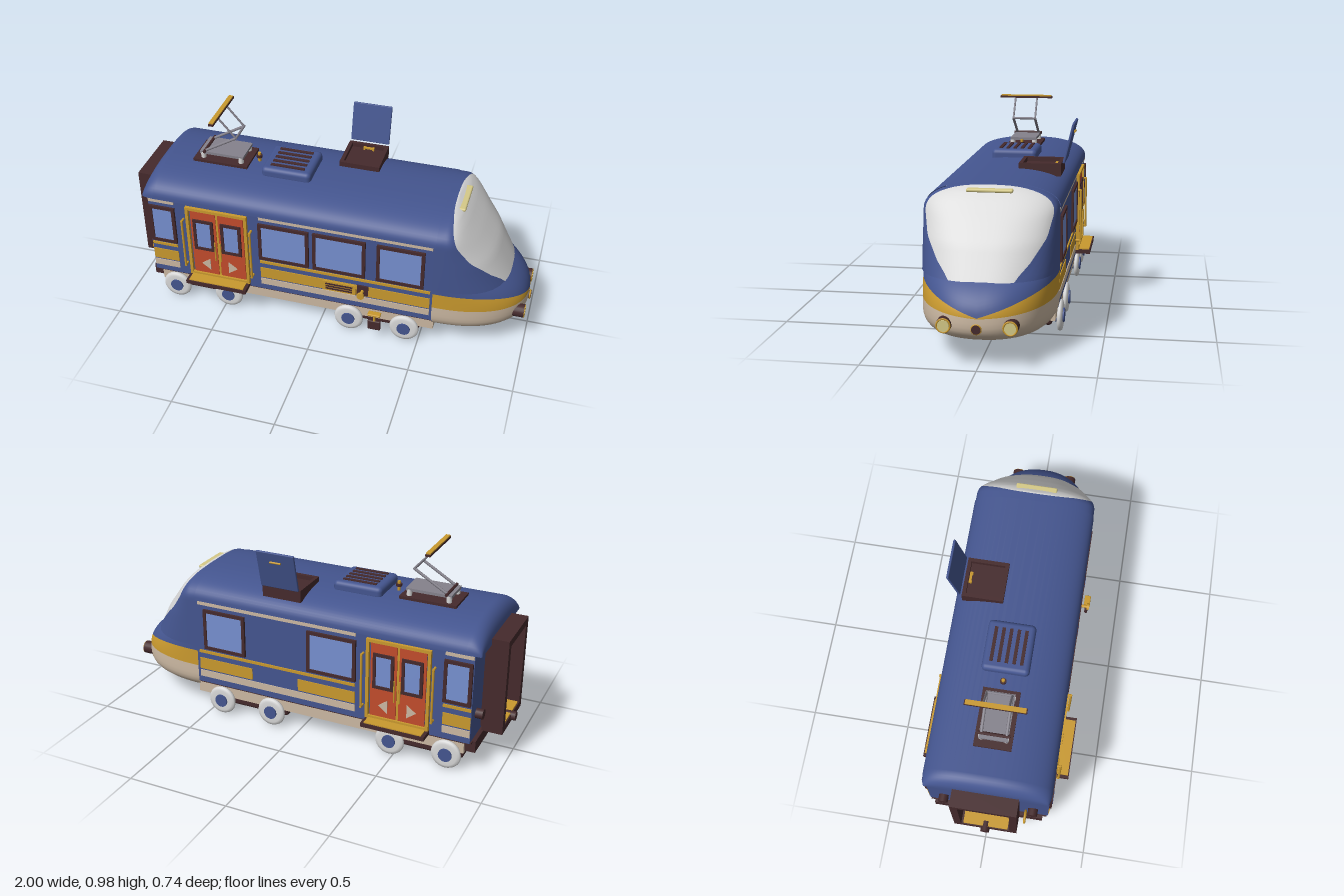
import * as THREE from 'three';
import { RoundedBoxGeometry } from 'three/addons/geometries/RoundedBoxGeometry.js';

const mat = (name, color) => {
  const m = new THREE.MeshStandardMaterial({ color, side: THREE.DoubleSide });
  m.name = name;
  return m;
};

// Value of y in a short list of [y, value] pairs
function lookup(table, y) {
  let k = 1;
  while (k < table.length - 1 && y > table[k][0]) k++;
  const [a, b] = [table[k - 1], table[k]];
  return THREE.MathUtils.mapLinear(THREE.MathUtils.clamp(y, a[0], b[0]), a[0], b[0], a[1], b[1]);
}

// Smooth surface from a rule fn(i, j); band(i, j) picks the material of each cell
function gridSurface(nu, nv, fn, band = () => 0, bands = 1) {
  const pos = [], idx = [], geo = new THREE.BufferGeometry();
  for (let j = 0; j <= nv; j++) for (let i = 0; i <= nu; i++) pos.push(...fn(i, j));
  for (let m = 0; m < bands; m++) {
    const start = idx.length;
    for (let j = 0; j < nv; j++) for (let i = 0; i < nu; i++) {
      if (band(i, j) !== m) continue;
      const a = j * (nu + 1) + i, c = a + nu + 1;
      idx.push(a, a + 1, c + 1, a, c + 1, c);
    }
    geo.addGroup(start, idx.length - start, m);
  }
  geo.setAttribute('position', new THREE.Float32BufferAttribute(pos, 3));
  geo.setIndex(idx);
  geo.computeVertexNormals();
  return geo;
}

const power = (v, p) => Math.sign(v) * Math.abs(v) ** p;
const arch = (t, n) => Math.max(0, 1 - t ** n) ** (1 / n);

export function createModel() {
  const root = new THREE.Group();
  root.name = 'tram';
  const blue = mat('blue', 0x44558f), glass = mat('window glass', 0x7690d0), gold = mat('gold', 0xc9992e),
    cream = mat('cream', 0xcbb8a2), orange = mat('door orange', 0xc24c2c), dark = mat('dark brown', 0x452a2c),
    white = mat('pale grey', 0xd8d8d8), grey = mat('metal grey', 0x85828c), lampMat = mat('lamp yellow', 0xd6ca88);

  const add = (name, geo, material, x = 0, y = 0, z = 0) => {
    const m = new THREE.Mesh(geo, material);
    m.name = name;
    m.position.set(x, y, z);
    root.add(m);
    return m;
  };
  // Box given by its limits on each axis
  const box = (name, m, x0, x1, y0, y1, z0, z1) => add(name,
    new THREE.BoxGeometry(x1 - x0, y1 - y0, Math.abs(z1 - z0)), m, (x0 + x1) / 2, (y0 + y1) / 2, (z0 + z1) / 2);
  const rounded = (name, m, x0, x1, y0, y1, z0, z1, r) => add(name,
    new RoundedBoxGeometry(x1 - x0, y1 - y0, z1 - z0, 3, r), m, (x0 + x1) / 2, (y0 + y1) / 2, (z0 + z1) / 2);
  // Round bar between two points
  const rod = (name, m, a, b, r, sides = 12) => {
    const p = new THREE.Vector3(...a), q = new THREE.Vector3(...b), d = q.clone().sub(p);
    const bar = add(name, new THREE.CylinderGeometry(r, r, d.length(), sides), m, ...p.clone().add(q).multiplyScalar(0.5));
    bar.quaternion.setFromUnitVectors(new THREE.Vector3(0, 1, 0), d.normalize());
    return bar;
  };
  // Rectangular ring extruded along z
  const frameGeo = (w, h, t, depth) => {
    const rect = (C, a, b) => new C([[-a, -b], [a, -b], [a, b], [-a, b]].map(p => new THREE.Vector2(...p)));
    const s = rect(THREE.Shape, w / 2, h / 2);
    s.holes.push(rect(THREE.Path, w / 2 - t, h / 2 - t));
    return new THREE.ExtrudeGeometry(s, { depth, bevelEnabled: false }).translate(0, 0, -depth / 2);
  };

  // Body, skirt and underframe
  const W = 0.295;
  box('body', blue, -0.87, 0.565, 0.155, 0.605, -W, W);
  box('skirt', cream, -0.84, 0.57, 0.09, 0.152, -0.283, 0.283);
  box('sill', dark, -0.875, 0.56, 0.148, 0.158, -0.29, 0.29);
  box('rearBeam', dark, -0.89, -0.84, 0.1, 0.158, -0.27, 0.27);
  for (const x of [-0.62, 0.29]) rounded('bogie', dark, x - 0.21, x + 0.21, 0.042, 0.095, -0.26, 0.26, 0.015);

  // Roof with rounded shoulders and a rounded rear end
  add('roof', gridSurface(32, 10, (i, j) => {
    const f = Math.PI * i / 32, a = Math.PI / 2 * Math.max(0, j - 1) / 9;
    const h = 0.113 * Math.cos(a) ** 0.7, w = 0.303 - 0.015 * (1 - Math.cos(a));
    return [j ? -0.83 - 0.07 * Math.sin(a) : 0.56, 0.6 + h * power(Math.sin(f), 2 / 2.4), w * power(Math.cos(f), 2 / 2.4)];
  }), blue);
  box('roofLip', blue, -0.895, -0.86, 0.594, 0.603, -0.287, 0.287);

  // Lower nose: cream, gold and blue bands meeting at the tip
  const noseRows = [12, 4, 8];
  add('nose', gridSurface(40, 24, (i, j) => {
    const f = Math.PI * i / 40, zn = power(Math.cos(f), 2 / 2.3), k = Math.abs(zn);
    const yc = 0.222 + 0.02 * k, yb = 0.225 + 0.1 * k;
    const y = j <= 12 ? 0.08 + (yc - 0.08) * (j / 12) ** 2
      : j <= 16 ? yc + (yb - yc) * (j - 12) / 4 : yb + (0.357 - yb) * (j - 16) / 8;
    const s = y < 0.2 ? arch((0.2 - y) / 0.12, 3) : 1;
    const len = 0.43 * s - 0.1 * Math.max(0, (y - 0.2) / 0.155) ** 2.3;
    return [0.56 + len * power(Math.sin(f), 2 / 2.3), y, 0.3 * s * zn];
  }, (i, j) => j < noseRows[0] ? 0 : j < noseRows[0] + noseRows[1] ? 1 : 2, 3), [cream, gold, blue]);

  // Cab: blue cheeks with the big windscreen between them
  const front = [[0.35, 0.895], [0.49, 0.815], [0.59, 0.735], [0.66, 0.675], [0.69, 0.645], [0.712, 0.605]];
  const screenEdge = [[0.355, 0.467], [0.42, 0.667], [0.51, 0.867], [0.6, 0.94], [0.66, 0.95]];
  add('cab', gridSurface(36, 24, (i, j) => {
    const y = 0.35 + 0.36 * (1 - (1 - j / 24) ** 1.6);
    const w = 0.3 * (y > 0.6 ? arch((y - 0.6) / 0.11, 2.4) : 1);
    if (i === 0 || i === 36) return [0.555, y, i ? -w : w];
    const fb = Math.acos(lookup(screenEdge, y) ** 1.25);
    const k = i <= 18 ? i : 36 - i;
    let f = k <= 8 ? fb * (k - 1) / 7 : fb + (Math.PI / 2 - fb) * (k - 8) / 10;
    if (i > 18) f = Math.PI - f;
    return [0.595 + (lookup(front, y) - 0.595) * power(Math.sin(f), 0.8), y, w * power(Math.cos(f), 0.8)];
  }, (i) => (i >= 8 && i < 28 ? 1 : 0), 2), [blue, white]);
  rounded('topLampBar', lampMat, 0.615, 0.655, 0.683, 0.699, -0.103, 0.103, 0.007);

  // Headlamps and front coupler
  for (const z of [-0.14, 0.14]) {
    rod('headlampHousing', dark, [0.92, 0.187, z], [0.985, 0.187, z], 0.033, 20);
    add('headlampRing', new THREE.TorusGeometry(0.029, 0.004, 8, 20), gold, 0.985, 0.187, z).rotation.y = Math.PI / 2;
    rod('headlampLens', lampMat, [0.98, 0.187, z], [0.99, 0.187, z], 0.025, 20);
  }
  rod('frontCoupler', dark, [0.95, 0.18, 0], [1, 0.18, 0], 0.02, 16);
  add('frontCouplerRing', new THREE.TorusGeometry(0.02, 0.004, 8, 16), gold, 0.995, 0.18, 0).rotation.y = Math.PI / 2;

  // Side fittings, mirrored left and right
  for (const s of [1, -1]) {
    const plate = (name, m, x0, x1, y0, y1, out = 0.004) =>
      box(name, m, x0, x1, y0, y1, s * (W + out - 0.008), s * (W + out));
    const win = (x0, x1, y0, y1, t, out) => {
      add('windowFrame', frameGeo(x1 - x0, y1 - y0, t, 0.02), dark, (x0 + x1) / 2, (y0 + y1) / 2, s * (W + out - 0.01));
      plate('windowGlass', glass, x0 + 0.005, x1 - 0.005, y0 + 0.005, y1 - 0.005, out - 0.005);
    };
    for (const [a, b] of [[-0.868, -0.735], [-0.3, 0.548]]) {
      plate('topStripe', cream, a, b, 0.58, 0.597);
      plate('thinStripe', gold, a, b, 0.32, 0.334, 0.006);
      plate('lowStripe', cream, a, b, 0.187, 0.222);
    }
    const gaps = s > 0 ? [[-0.868, -0.735], [-0.3, 0.548]] : [[-0.868, -0.735], [-0.3, 0], [0.25, 0.548]];
    for (const [a, b] of gaps) plate('goldBand', gold, a, b, 0.23, 0.29);
    for (const [a, b] of [[-0.866, -0.733], [-0.303, -0.05], [-0.03, 0.23], [0.285, 0.515]])
      if (s > 0 || a !== -0.03) win(a, b, 0.347, 0.56, 0.016, 0.012);

    // Double door with arrows, rails and step
    add('doorFrame', frameGeo(0.315, 0.41, 0.015, 0.024), gold, -0.515, 0.383, s * (W + 0.004));
    plate('doorGap', gold, -0.53, -0.5, 0.19, 0.575, 0.002);
    for (const d of [-1, 1]) {
      const c = -0.515 + d * 0.071;
      plate('doorLeaf', orange, c - 0.065, c + 0.065, 0.185, 0.572, 0.006);
      win(c - 0.052, c + 0.052, 0.34, 0.52, 0.015, 0.014);
      const tri = new THREE.Shape([[0.023 * d, 0], [-0.023 * d, 0.034], [-0.023 * d, -0.034]].map(p => new THREE.Vector2(...p)));
      add('doorArrow', new THREE.ExtrudeGeometry(tri, { depth: 0.004, bevelEnabled: false }), cream, c, 0.252, s * (W + 0.007) - 0.002);
      rod('doorHandle', gold, [-0.515 + d * 0.014, 0.29, s * 0.31], [-0.515 + d * 0.014, 0.4, s * 0.31], 0.004, 8);
      const rx = -0.515 + d * 0.175;
      rod('grabRail', gold, [rx, 0.23, s * 0.32], [rx, 0.51, s * 0.32], 0.006, 8);
      for (const y of [0.235, 0.505]) rod('railMount', gold, [rx, y, s * 0.29], [rx, y, s * 0.325], 0.006, 8);
    }
    box('doorStep', dark, -0.675, -0.36, 0.158, 0.178, s * 0.28, s * 0.37);
    box('stepTread', gold, -0.66, -0.375, 0.176, 0.183, s * 0.28, s * 0.365);

    // Wheels
    const rim = [[0.03, -0.012], [0.055, -0.013], [0.069, -0.009], [0.073, 0], [0.069, 0.009], [0.055, 0.013], [0.03, 0.012]];
    for (const x of [-0.76, -0.48, 0.15, 0.43]) {
      add('wheel', new THREE.LatheGeometry(rim.map(p => new THREE.Vector2(...p)), 28), white, x, 0.074, s * 0.293).rotation.x = Math.PI / 2;
      rod('wheelHub', blue, [x, 0.074, s * 0.27], [x, 0.074, s * 0.312], 0.033, 20);
      rod('axle', dark, [x, 0.074, 0], [x, 0.074, s * 0.28], 0.018);
    }
    // Tail lamps
    rod('tailLamp', dark, [-0.86, 0.28, s * 0.22], [-0.905, 0.28, s * 0.22], 0.024, 16);
  }

  // Service vent, valve and hanging lever on the left side
  box('ventPanel', gold, 0.02, 0.185, 0.232, 0.288, 0.29, 0.306);
  for (let k = 0; k < 3; k++) box('ventSlat', dark, 0.035, 0.17, 0.242 + k * 0.014, 0.25 + k * 0.014, 0.3, 0.309);
  box('valvePlate', dark, 0.192, 0.248, 0.237, 0.293, 0.29, 0.304);
  rod('valveStem', gold, [0.22, 0.265, 0.3], [0.22, 0.265, 0.34], 0.008);
  rod('valveKnob', gold, [0.22, 0.265, 0.336], [0.22, 0.265, 0.348], 0.018, 16);
  rounded('leverGrip', gold, 0.258, 0.322, 0.155, 0.167, 0.32, 0.352, 0.005);
  rod('leverStem', gold, [0.29, 0.11, 0.336], [0.29, 0.16, 0.336], 0.006);
  rounded('leverBlock', dark, 0.258, 0.322, 0.065, 0.12, 0.328, 0.344, 0.006);

  // Rear gangway with an inset door
  const portal = add('gangway', frameGeo(0.31, 0.475, 0.035, 0.1), dark, -0.93, 0.393, 0);
  portal.rotation.y = Math.PI / 2;
  box('gangwayDoor', dark, -0.885, -0.868, 0.17, 0.62, -0.14, 0.14);
  for (const z of [-0.062, 0.062]) {
    box('gangwayLeaf', blue, -0.892, -0.88, 0.19, 0.595, z - 0.055, z + 0.055);
    box('gangwayGlass', glass, -0.896, -0.89, 0.3, 0.56, z - 0.035, z + 0.035);
  }
  box('gangwayTread', gold, -0.975, -0.89, 0.188, 0.198, -0.11, 0.11);
  rod('rearCoupler', dark, [-0.95, 0.18, 0], [-1, 0.18, 0], 0.022, 16);
  add('rearHandle', new THREE.TorusGeometry(0.03, 0.006, 8, 20), gold, -0.9, 0.21, 0.185);

  // Pantograph
  box('pantographBase', dark, -0.705, -0.425, 0.7, 0.724, -0.088, 0.088);
  box('pantographPlate', grey, -0.675, -0.45, 0.748, 0.762, -0.068, 0.068);
  for (const z of [-0.058, 0.058]) {
    for (const x of [-0.66, -0.465]) rod('insulator', white, [x, 0.72, z], [x, 0.755, z], 0.013);
    rod('lowerArm', grey, [-0.65, 0.762, z], [-0.485, 0.86, z], 0.007, 8);
    rod('upperArm', grey, [-0.485, 0.86, z], [-0.575, 0.965, z], 0.005, 8);
  }
  rod('armJoint', grey, [-0.485, 0.86, -0.062], [-0.485, 0.86, 0.062], 0.006, 8);
  rod('armPivot', dark, [-0.65, 0.762, -0.075], [-0.65, 0.762, 0.075], 0.008, 8);
  box('contactBar', dark, -0.587, -0.563, 0.96, 0.97, -0.14, 0.14);
  box('contactStrip', gold, -0.586, -0.564, 0.969, 0.976, -0.135, 0.135);
  rod('roofPost', gold, [-0.39, 0.7, 0], [-0.39, 0.76, 0], 0.008);
  rod('roofPostCollar', dark, [-0.39, 0.735, 0], [-0.39, 0.748, 0], 0.015);

  // Cooling unit
  rounded('coolingUnit', blue, -0.345, -0.097, 0.69, 0.752, -0.113, 0.113, 0.022);
  for (let k = -2; k <= 2; k++) box('coolingSlat', dark, -0.305, -0.135, 0.745, 0.757, k * 0.036 - 0.008, k * 0.036 + 0.008);

  // Open roof hatch with its lid
  add('hatchFrame', frameGeo(0.2, 0.2, 0.018, 0.06), dark, 0.098, 0.707, -0.165).rotation.x = Math.PI / 2;
  box('hatchFloor', dark, 0, 0.196, 0.68, 0.716, -0.26, -0.07);
  for (const x of [0.075, 0.12]) box('hatchLadder', gold, x, x + 0.01, 0.71, 0.73, -0.245, -0.23);
  box('hatchRung', gold, 0.075, 0.13, 0.72, 0.727, -0.245, -0.233);
  const lid = add('hatchLid', new RoundedBoxGeometry(0.196, 0.196, 0.012, 2, 0.004), blue, 0.098, 0.834, -0.3);
  lid.rotation.x = -0.24;
  rod('lidHandle', gold, [0.07, 0.88, -0.322], [0.126, 0.88, -0.322], 0.005, 8);

  return root;
}
